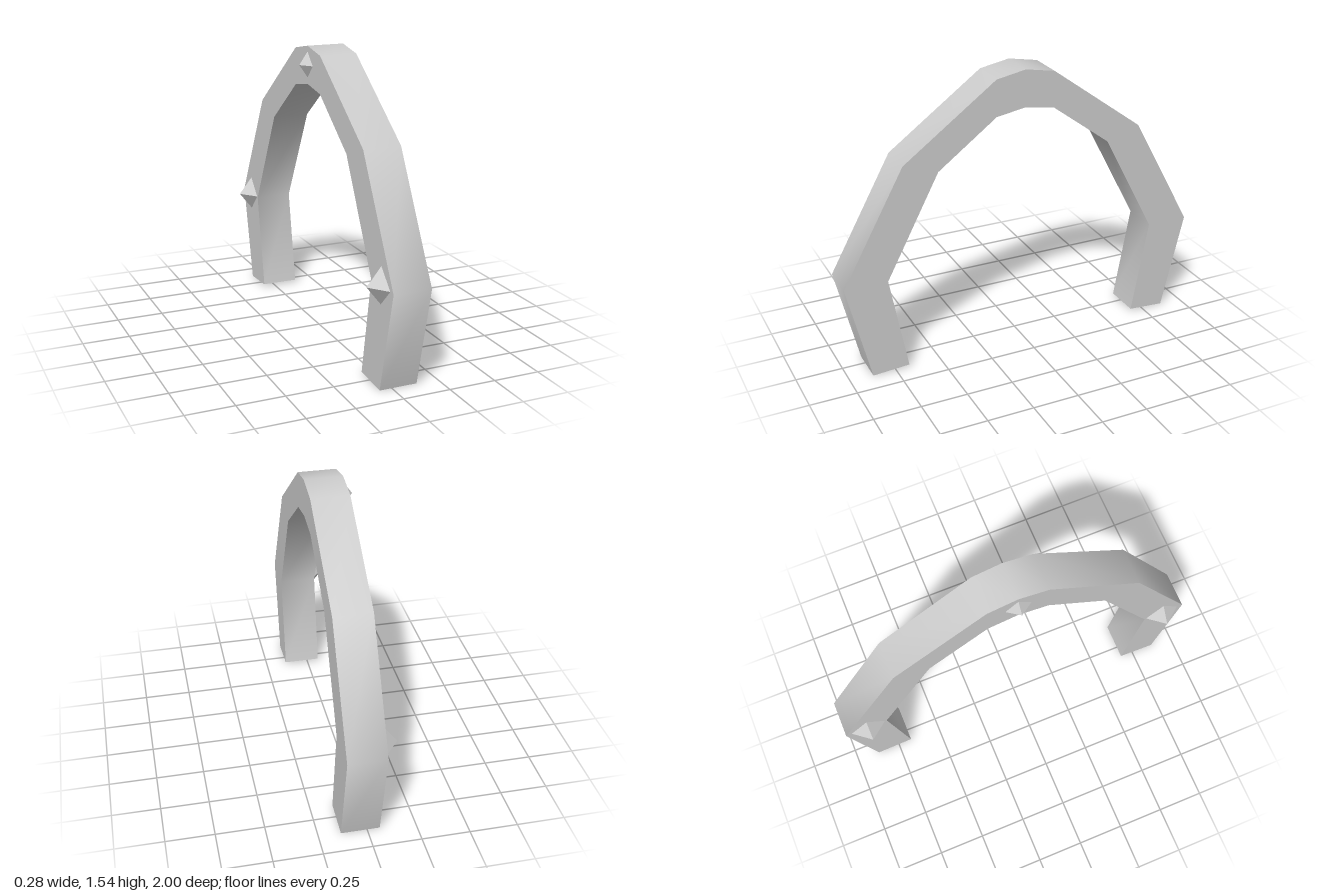
import * as THREE from 'three';
import { toCreasedNormals } from 'three/addons/utils/BufferGeometryUtils.js';

const SIDE = -0.065, WIDTH = 0.2; // studded face of the arch, and its depth along x

export function createModel() {
  const group = new THREE.Group();
  const smooth = new THREE.MeshStandardMaterial({ color: 0xcccccc });
  const flat = new THREE.MeshStandardMaterial({ color: 0xcccccc, flatShading: true });

  // Half profiles of the arch as [z, y], from foot to crown
  const outer = [[0.875, 0], [1, 0.53], [0.665, 1.14], [0.16, 1.51], [0, 1.54]];
  const inner = [[0.675, 0.013], [0.768, 0.53], [0.48, 1.077], [0.16, 1.315], [0, 1.342]];
  const mirrored = (half) => [
    ...half,
    ...half.slice(0, -1).reverse().map(([z, y]) => [-z, y]),
  ];
  const outline = [...mirrored(outer), ...mirrored(inner).reverse()];
  const shape = new THREE.Shape(outline.map(([z, y]) => new THREE.Vector2(z, y)));

  // Arch: smooth along the band, sharp at its edges
  let archGeometry = new THREE.ExtrudeGeometry(shape, { depth: WIDTH, bevelEnabled: false });
  archGeometry.rotateY(Math.PI / 2).translate(SIDE, 0, 0);
  archGeometry = toCreasedNormals(archGeometry, 0.77);
  const arch = new THREE.Mesh(archGeometry, smooth);
  arch.name = 'arch';
  group.add(arch);

  // Pyramid studs on one face: name, y, z, radius, height
  const studs = [
    ['frontStud', 0.535, 0.872, 0.095, 0.075],
    ['backStud', 0.535, -0.872, 0.095, 0.075],
    ['crownStud', 1.443, 0, 0.067, 0.046],
  ];
  for (const [name, y, z, radius, height] of studs) {
    const geometry = new THREE.ConeGeometry(radius, height, 4);
    geometry.rotateZ(Math.PI / 2);
    const stud = new THREE.Mesh(geometry, flat);
    stud.position.set(SIDE - height / 2, y, z);
    stud.name = name;
    group.add(stud);
  }
  return group;
}
